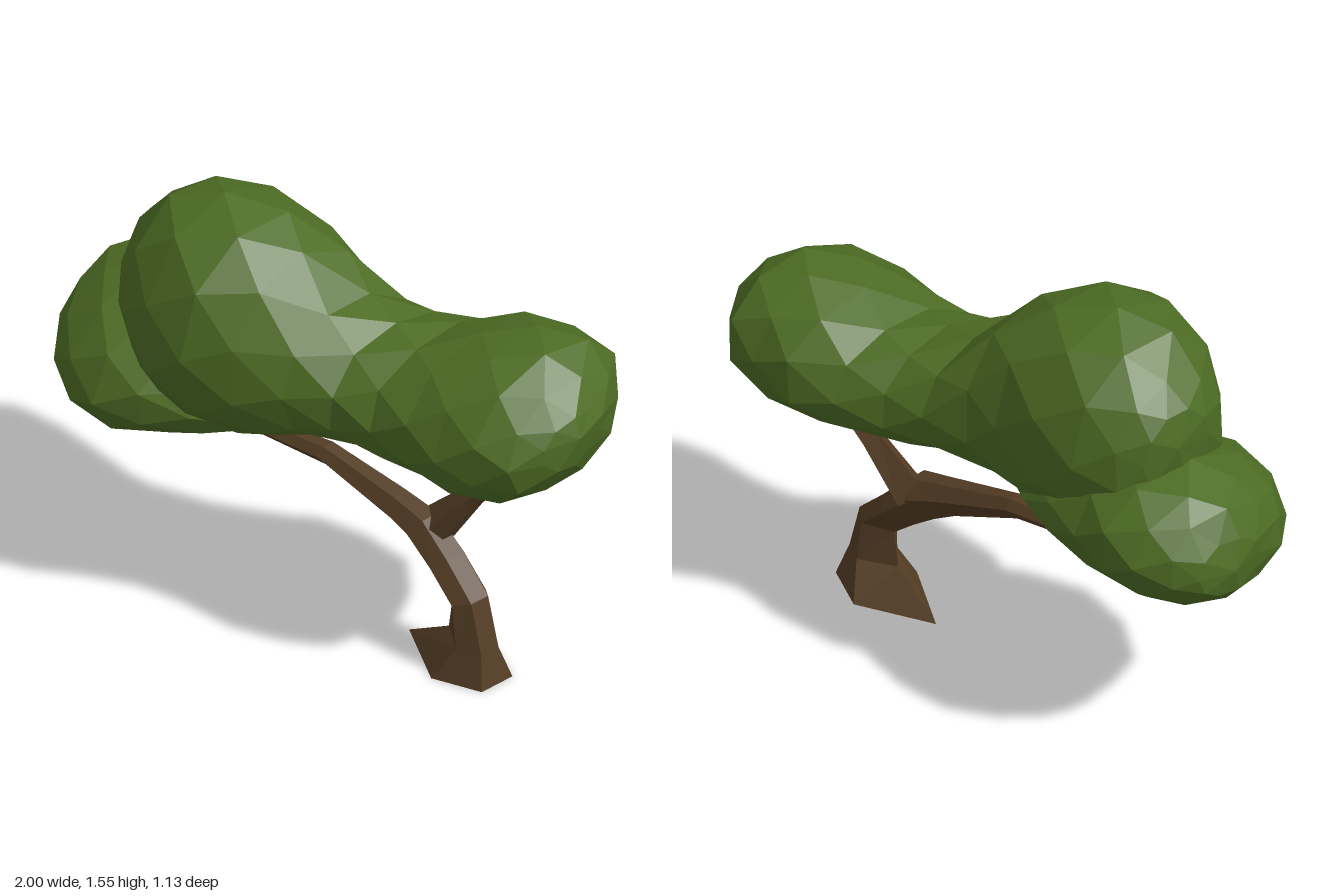
import * as THREE from 'three';

// Skin a list of equal-length rings; pole points close the ends where given.
function loft(rings, endPole, startPole) {
  const pos = [];
  const tri = (...pts) => pts.forEach((p) => pos.push(...p));
  const n = rings[0].length;
  for (let i = 0; i < n; i++) {
    const j = (i + 1) % n;
    if (startPole) tri(startPole, rings[0][i], rings[0][j]);
    for (let k = 0; k < rings.length - 1; k++) {
      const a = rings[k], b = rings[k + 1];
      tri(a[i], b[i], a[j]);
      tri(a[j], b[i], b[j]);
    }
    const last = rings[rings.length - 1];
    tri(endPole, last[j], last[i]);
  }
  const geo = new THREE.BufferGeometry();
  geo.setAttribute('position', new THREE.Float32BufferAttribute(pos, 3));
  geo.computeVertexNormals(); // unshared corners give flat facets
  return geo;
}

function makeRandom(seed) {
  return () => {
    seed = (seed * 16807) % 2147483647;
    return seed / 2147483647 - 0.5;
  };
}

// Leaf mass: stations along x as [x, top, bottom, back, front, tilt].
function leafMass(stations, startPole, endPole, seed) {
  const rand = makeRandom(seed);
  const sides = 10;
  const rings = stations.map(([x, top, bottom, back, front, tilt = 0], k) => {
    const ring = [];
    for (let i = 0; i < sides; i++) {
      const a = ((i + k * 0.5) / sides) * Math.PI * 2;
      const s = 1.025 + rand() * 0.04;
      ring.push([
        x + rand() * 0.02,
        (top + bottom) / 2 + ((top - bottom) / 2) * s * Math.sin(a + tilt),
        (back + front) / 2 + ((front - back) / 2) * s * Math.cos(a),
      ]);
    }
    return ring;
  });
  return loft(rings, endPole, startPole);
}

// Five-sided wood with a ridge on the inner side:
// rings as [x, y, z, in-plane radius, z radius, in-plane angle].
const woodProfile = [[1, -0.5], [1, 0.5], [0.2, 1], [-1, 0], [0.2, -1]];
function limb(stations) {
  const rings = stations.map(([x, y, z, ru, rz, angle]) =>
    woodProfile.map(([u, w]) => [
      x + u * ru * Math.cos(angle),
      y + u * ru * Math.sin(angle),
      z + w * rz,
    ]));
  return loft(rings, stations[stations.length - 1].slice(0, 3));
}

export function createModel() {
  const leafGreen = new THREE.MeshStandardMaterial({ color: 0x4d6c24 });
  leafGreen.name = 'leafGreen';
  const barkBrown = new THREE.MeshStandardMaterial({ color: 0x533c24 });
  barkBrown.name = 'barkBrown';

  const tree = new THREE.Group();
  tree.name = 'tree';
  const add = (name, geometry, material) => {
    const mesh = new THREE.Mesh(geometry, material);
    mesh.name = name;
    tree.add(mesh);
  };

  // Flared trunk bending over into the long branch
  add('trunkAndLongBranch', limb([
    [0.485, 0, -0.1, 0.215, 0.137, 0],
    [0.57, 0.12, -0.095, 0.1, 0.077, 0],
    [0.555, 0.275, -0.095, 0.07, 0.075, 0.35],
    [0.45, 0.375, -0.092, 0.068, 0.075, 0.67],
    [0.355, 0.465, -0.075, 0.08, 0.073, 0.95],
    [0.25, 0.508, -0.055, 0.064, 0.06, 1.25],
    [-0.02, 0.6, 0, 0.043, 0.044, 1.45],
    [-0.28, 0.612, 0.06, 0.033, 0.038, 1.55],
    [-0.5, 0.645, 0.11, 0.02, 0.032, 1.45],
  ]), barkBrown);

  // Short branch rising from the fork
  add('shortBranch', limb([
    [0.375, 0.46, -0.095, 0.07, 0.07, -0.75],
    [0.525, 0.645, -0.15, 0.037, 0.045, -0.8],
    [0.7, 0.83, -0.21, 0.02, 0.025, -0.8],
  ]), barkBrown);

  // Upper canopy: a tall lobe and a lower lobe joined by a waist
  add('upperCanopy', leafMass([
    [-0.7, 1.32, 1.0, -0.02, 0.26],
    [-0.64, 1.4, 0.88, -0.1, 0.36],
    [-0.52, 1.5, 0.76, -0.17, 0.46],
    [-0.36, 1.535, 0.7, -0.21, 0.51],
    [-0.18, 1.52, 0.72, -0.22, 0.5],
    [-0.03, 1.43, 0.75, -0.23, 0.42],
    [0.11, 1.28, 0.79, -0.29, 0.32],
    [0.24, 1.225, 0.79, -0.36, 0.23, -0.05],
    [0.38, 1.22, 0.78, -0.45, 0.18, -0.1],
    [0.52, 1.28, 0.765, -0.53, 0.16, -0.15],
    [0.66, 1.31, 0.75, -0.55, 0.14, -0.17],
    [0.79, 1.305, 0.78, -0.55, 0.1, -0.17],
    [0.9, 1.24, 0.86, -0.46, 0.03, -0.17],
    [0.965, 1.16, 0.97, -0.33, -0.07, -0.17],
  ], [-0.73, 1.2, 0.1], [1.0, 1.09, -0.2], 11), leafGreen);

  // Lower canopy tucked beneath the tall lobe
  add('lowerCanopy', leafMass([
    [-0.97, 0.95, 0.74, -0.02, 0.25, -0.1],
    [-0.92, 1.04, 0.675, -0.1, 0.39, -0.15],
    [-0.83, 1.08, 0.61, -0.17, 0.48, -0.2],
    [-0.7, 1.11, 0.585, -0.205, 0.54, -0.2],
    [-0.55, 1.09, 0.595, -0.2, 0.55, -0.2],
    [-0.4, 1.03, 0.645, -0.19, 0.5, -0.15],
    [-0.25, 0.96, 0.69, -0.15, 0.4, -0.1],
    [-0.1, 0.88, 0.745, -0.08, 0.26],
  ], [-1.0, 0.84, 0.12], [0.0, 0.82, 0.1], 29), leafGreen);

  return tree;
}
